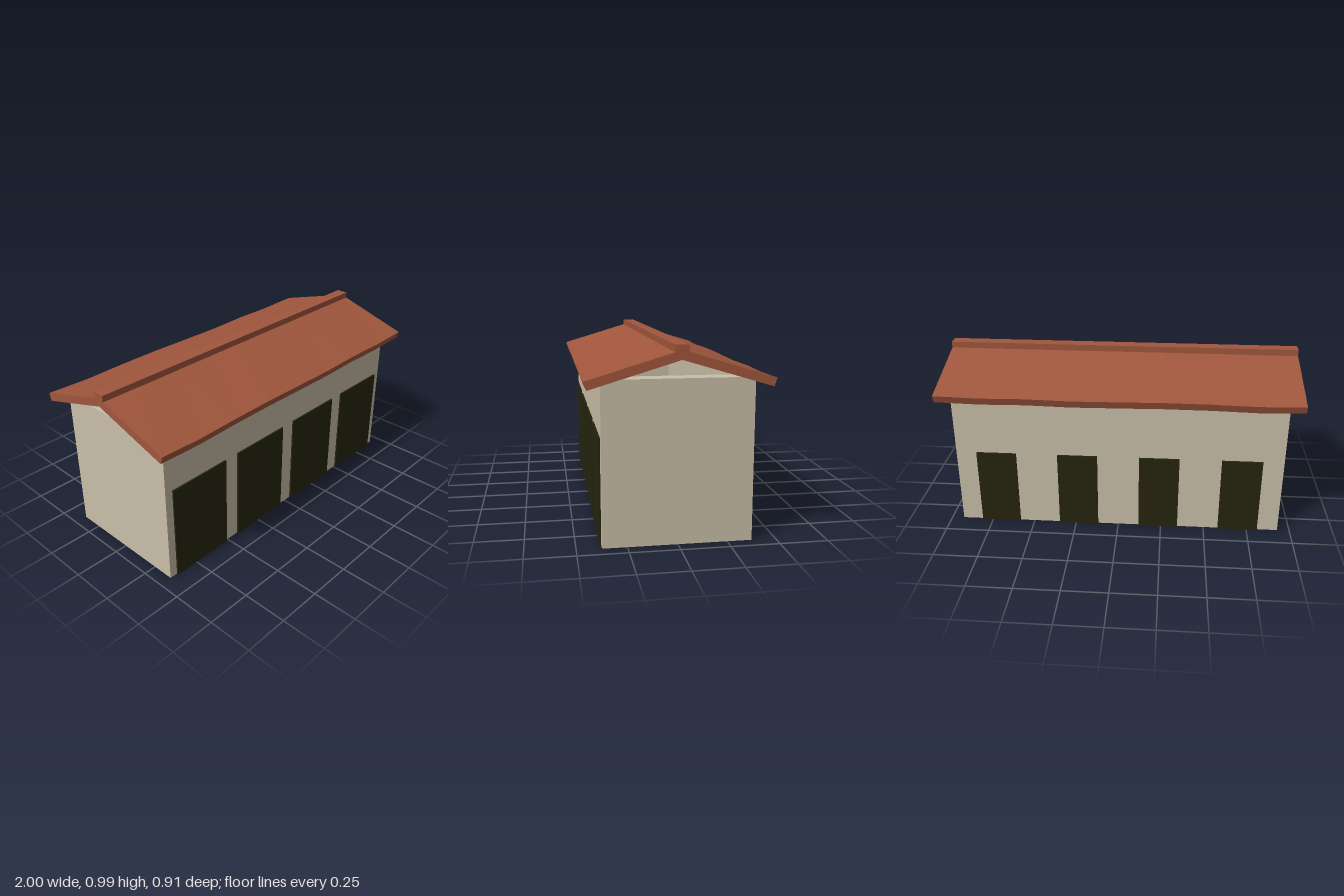
import * as THREE from 'three';

const W = 0.93, D = 0.375, H = 0.825, T = 0.1; // wall half-width, half-depth, height, thickness
const BAYS = [-0.698, -0.233, 0.233, 0.698];

const material = (name, color) => {
  const m = new THREE.MeshStandardMaterial({ color });
  m.name = name;
  return m;
};

export function createModel() {
  const stone = material('beige wall', 0xc9bfa8);
  const tile = material('terracotta roof', 0xa0563c);
  const dark = material('dark doorway', 0x26250f);

  const model = new THREE.Group();
  model.name = 'longBuilding';
  const add = (name, geometry, mat, x = 0, y = 0, z = 0) => {
    const mesh = new THREE.Mesh(geometry, mat);
    mesh.name = name;
    mesh.position.set(x, y, z);
    model.add(mesh);
    return mesh;
  };

  // Long wall with four round-headed openings reaching the ground
  const arcadeWall = (width, height) => {
    const r = width / 2, spring = height - r;
    const s = new THREE.Shape();
    s.moveTo(-W, 0);
    for (const c of BAYS) {
      s.lineTo(c - r, 0);
      s.lineTo(c - r, spring);
      s.absarc(c, spring, r, Math.PI, 0, true);
      s.lineTo(c + r, 0);
    }
    s.lineTo(W, 0);
    s.lineTo(W, H);
    s.lineTo(-W, H);
    s.closePath();
    return new THREE.ExtrudeGeometry(s, { depth: T, bevelEnabled: false, curveSegments: 16 });
  };

  // Front and back: arched wall plus thin rectangular panels over the openings
  const sides = [
    { name: 'front', width: 0.373, height: 0.543, wallZ: D - T, panelZ: D + 0.0045 },
    { name: 'back', width: 0.228, height: 0.45, wallZ: -D, panelZ: -D - 0.0045 },
  ];
  for (const { name, width, height, wallZ, panelZ } of sides) {
    add(name + 'Wall', arcadeWall(width - 0.004, height - 0.002), stone, 0, 0, wallZ);
    for (const c of BAYS) {
      add(name + 'DoorPanel', new THREE.BoxGeometry(width, height, 0.009), dark, c, height / 2, panelZ);
    }
  }

  // End walls between the long walls
  for (const side of [-1, 1]) {
    add(side > 0 ? 'leftEndWall' : 'rightEndWall',
      new THREE.BoxGeometry(T, H, 2 * (D - T)), stone, side * (W - T / 2), H / 2, 0);
  }

  // Roof: chevron section swept along x, with slightly uneven eaves
  const section = new THREE.Shape([
    [0, 0.92], [0.443, 0.787], [0.457, 0.829], [0, 0.966], [-0.457, 0.829], [-0.443, 0.787],
  ].map(([z, y]) => new THREE.Vector2(z, y)));
  const sag = [0, -0.007, -0.001, 0, -0.004, -0.007, -0.002, -0.006, 0];
  const roof = new THREE.ExtrudeGeometry(section, { depth: 2, steps: sag.length - 1, bevelEnabled: false });
  roof.translate(0, 0, -1);
  roof.rotateY(Math.PI / 2);
  const p = roof.attributes.position;
  for (let i = 0; i < p.count; i++) {
    const station = Math.round((p.getX(i) + 1) * (sag.length - 1) / 2);
    p.setY(i, p.getY(i) + sag[station] * Math.abs(p.getZ(i)) / 0.457);
  }
  roof.computeVertexNormals();
  add('roof', roof, tile);

  // Ridge cap
  add('ridgeCap', new THREE.BoxGeometry(2, 0.04, 0.068), tile, 0, 0.971, 0);

  return model;
}
